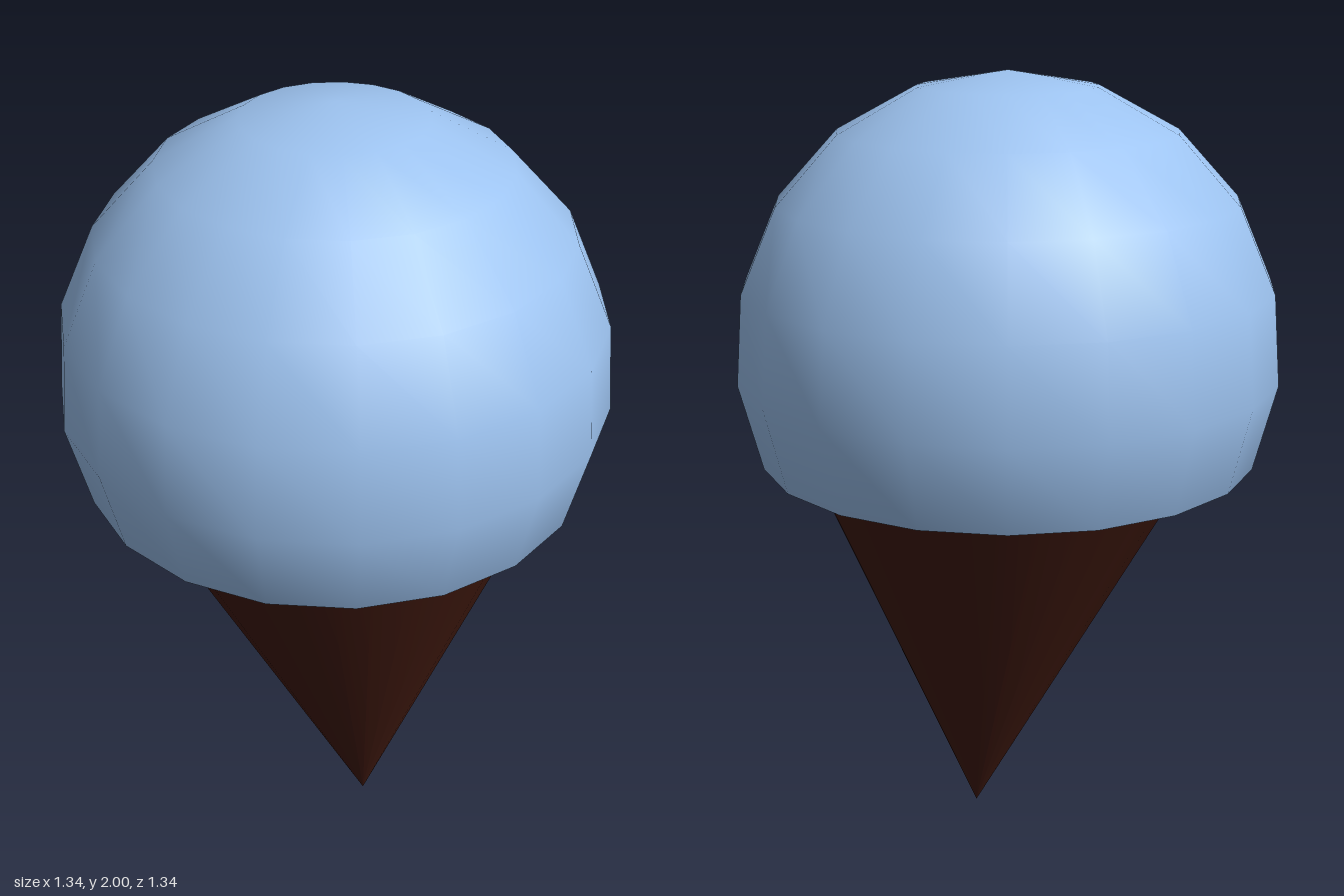
import * as THREE from 'three';

export function createModel() {
  const model = new THREE.Group();
  const scoopColor = new THREE.MeshStandardMaterial({ color: 0x9dc3f0 });
  const coneColor = new THREE.MeshStandardMaterial({ color: 0x40190f });

  const add = (name, geometry, material, parent) => {
    const mesh = new THREE.Mesh(geometry, material);
    mesh.name = name;
    parent.add(mesh);
    return mesh;
  };

  // Scoop: a ball of 19 sides, cut flat after six rings
  const sides = 19, rings = 6, radius = 0.677;
  const cut = rings * Math.PI * 2 / sides;
  const scoop = new THREE.Group();
  scoop.name = 'scoop';
  scoop.position.set(0, 2 - radius, 0.003);
  model.add(scoop);

  const dome = new THREE.SphereGeometry(radius, sides, rings, 0, Math.PI * 2, 0, cut);
  dome.rotateY(-Math.PI / 2);
  add('scoopDome', dome, scoopColor, scoop);

  // Flat underside of the scoop
  const base = new THREE.CircleGeometry(radius * Math.sin(cut), sides);
  base.rotateX(Math.PI / 2).rotateY(Math.PI / 2);
  add('scoopUnderside', base, scoopColor, scoop).position.y = radius * Math.cos(cut);

  // Cone: leaning slightly, tip on the ground, its rim hidden in the scoop
  const height = 1.15;
  const coneGeometry = new THREE.CylinderGeometry(height * 0.478, 0, height, 32);
  coneGeometry.translate(0, height / 2, 0);
  const cone = add('cone', coneGeometry, coneColor, model);
  cone.rotation.x = -0.068;
  cone.position.set(-0.025, 0.003, 0.125);

  return model;
}
